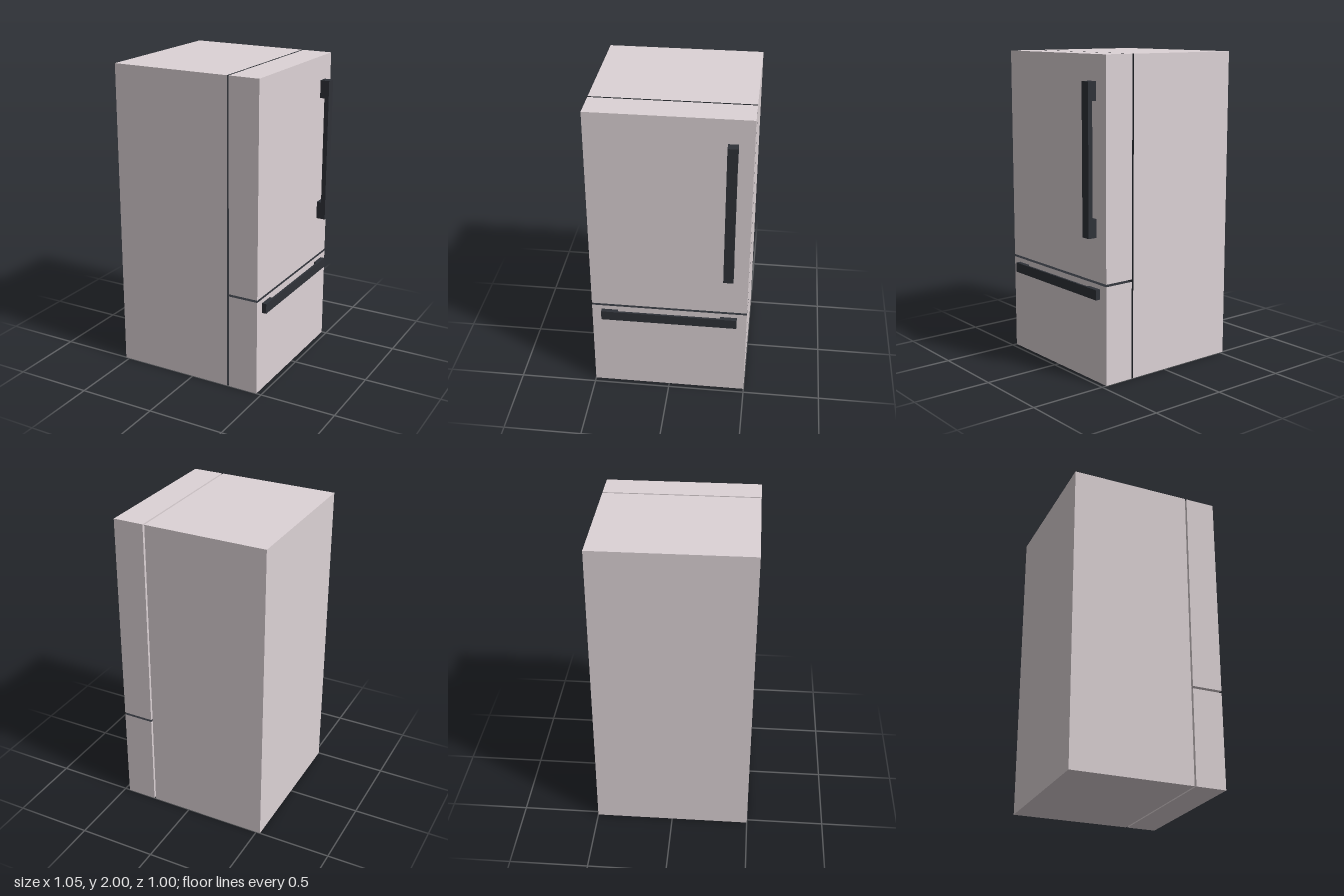
import * as THREE from 'three';

const shell = new THREE.MeshStandardMaterial({ color: 0xddd3d6 });
const dark = new THREE.MeshStandardMaterial({ color: 0x2f3238 });

// Box given by its limits on each axis
function box(name, [x0, x1], [y0, y1], [z0, z1], material) {
  const mesh = new THREE.Mesh(new THREE.BoxGeometry(x1 - x0, y1 - y0, z1 - z0), material);
  mesh.position.set((x0 + x1) / 2, (y0 + y1) / 2, (z0 + z1) / 2);
  mesh.name = name;
  return mesh;
}

// U-shaped pull as one extruded outline: runs along +y, stands out along +x
function handle(name, length, width, reach, thickness, foot) {
  const h = length / 2, inner = reach - thickness;
  const outline = new THREE.Shape([
    [0, -h], [reach, -h], [reach, h], [0, h],
    [0, h - foot], [inner, h - foot], [inner, foot - h], [0, foot - h],
  ].map(([x, y]) => new THREE.Vector2(x, y)));
  const geometry = new THREE.ExtrudeGeometry(outline, { depth: width, bevelEnabled: false });
  geometry.translate(0, 0, -width / 2);
  const mesh = new THREE.Mesh(geometry, dark);
  mesh.name = name;
  return mesh;
}

export function createModel() {
  const model = new THREE.Group();
  model.name = 'refrigerator';

  const depth = [-0.5, 0.5];
  const doorX = [0.269, 0.467];

  // Cabinet with a dark face behind the doors (+x side)
  model.add(box('cabinet', [-0.527, 0.257], [0, 2], depth,
    [dark, shell, shell, shell, shell, shell]));

  // Upper door and lower freezer drawer, with a dark seal on the drawer's top
  model.add(box('upperDoor', doorX, [0.638, 2], depth, shell));
  model.add(box('freezerDrawer', doorX, [0, 0.623], depth,
    [shell, shell, dark, shell, shell, shell]));

  // Upright door handle
  const doorHandle = handle('doorHandle', 0.934, 0.062, 0.06, 0.03, 0.115);
  doorHandle.position.set(doorX[1], 1.377, -0.377);
  model.add(doorHandle);

  // Horizontal drawer handle
  const drawerHandle = handle('drawerHandle', 0.874, 0.064, 0.03, 0.014, 0.107);
  drawerHandle.rotation.x = Math.PI / 2;
  drawerHandle.position.set(doorX[1], 0.564, 0);
  model.add(drawerHandle);

  return model;
}
